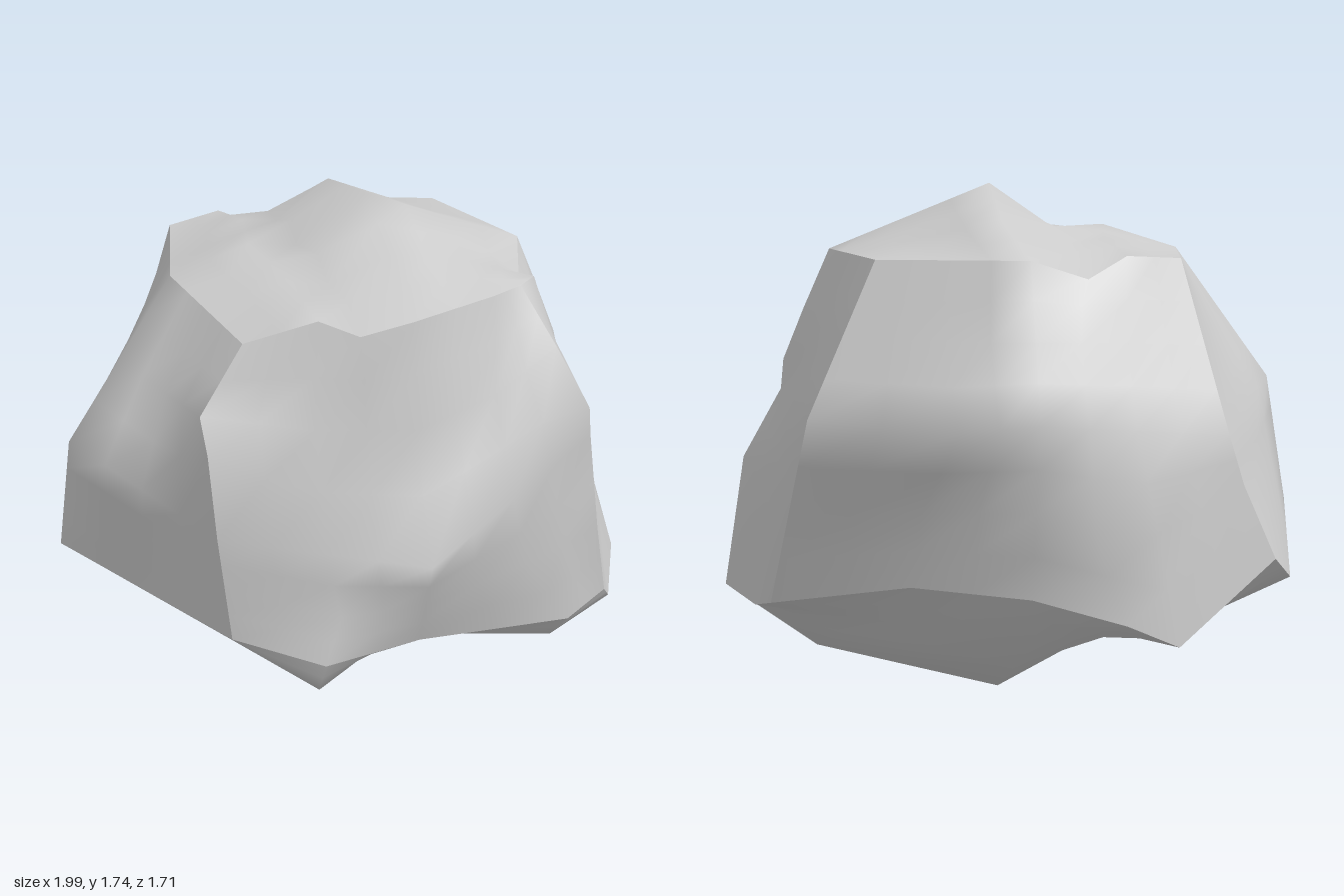
import * as THREE from 'three';

// Control points of the boulder on a 3 x 3 x 3 cage.
// Each layer runs back to front (rows) and from -x to +x (columns).
const layers = [
  [ // underside
    [[-0.74, 0.56, -0.70], [0.05, 0.47, -0.77], [0.84, 0.40, -0.39]],
    [[-1.0, 0.62, 0.05], [0.06, 0.0, -0.07], [0.99, 0.38, 0.0]],
    [[-0.56, 0.53, 0.65], [0.06, 0.42, 0.67], [0.79, 0.39, 0.52]],
  ],
  [ // waist (its centre is inside and unused)
    [[-0.58, 0.96, -0.71], [0.04, 1.02, -0.86], [0.72, 1.02, -0.62]],
    [[-0.96, 1.05, 0.16], null, [0.79, 1.05, 0.0]],
    [[-0.59, 0.88, 0.62], [0.03, 0.80, 0.85], [0.65, 1.05, 0.61]],
  ],
  [ // top
    [[-0.47, 1.50, -0.50], [0.04, 1.50, -0.67], [0.50, 1.50, -0.50]],
    [[-0.58, 1.52, 0.02], [0.07, 1.74, 0.05], [0.62, 1.52, 0.01]],
    [[-0.46, 1.46, 0.48], [0.03, 1.53, 0.63], [0.45, 1.53, 0.45]],
  ],
];

// Chips and bumps: in-between points that leave the straight line, keyed by
// cage position (x, y, z from -4 to 4).
const bumps = {
  // top: ridge to the back, valley from front to back, chipped edges
  '0,4,-2': [0.10, 1.62, -0.48],
  '-2,4,0': [-0.32, 1.60, 0.02],
  '-1,4,0': [-0.16, 1.58, 0.02],
  '-1,4,2': [-0.14, 1.55, 0.32],
  '-1,4,-2': [-0.13, 1.54, -0.33],
  '-2,4,4': [-0.24, 1.53, 0.54],
  '-1,4,4': [-0.12, 1.48, 0.58],
  '2,4,4': [0.33, 1.54, 0.53],
  '-2,4,-4': [-0.28, 1.51, -0.57],
  '-1,4,-4': [-0.15, 1.44, -0.61],
  '4,4,1': [0.55, 1.46, 0.20],
  '4,4,2': [0.52, 1.53, 0.39],
  // upright seams
  '-4,2,4': [-0.61, 1.26, 0.53],
  '-4,1,4': [-0.61, 1.17, 0.62],
  '4,2,4': [0.54, 1.35, 0.55],
  '4,1,4': [0.62, 1.17, 0.65],
  '4,-2,4': [0.70, 0.70, 0.61],
  '-4,-2,-4': [-0.63, 0.80, -0.71],
  // sides
  '0,2,4': [0.03, 1.20, 0.69],
  '0,1,4': [0.04, 0.98, 0.72],
  '-2,-2,4': [-0.24, 0.63, 0.78],
  '2,0,-4': [0.28, 1.00, -0.84],
  '-1,-2,-4': [-0.13, 0.70, -0.85],
  '-2,-2,-4': [-0.33, 0.68, -0.82],
  '4,-2,0': [0.92, 0.82, 0.0],
  '4,1,0': [0.78, 1.15, 0.0],
  '4,2,0': [0.71, 1.32, 0.0],
  // lower edge
  '-2,-4,4': [-0.30, 0.48, 0.81],
  '2,-4,4': [0.60, 0.38, 0.64],
  '4,-4,2': [0.87, 0.28, 0.40],
  '4,-4,1': [0.97, 0.36, 0.20],
  '4,-4,-2': [0.89, 0.37, -0.28],
  '2,-4,-4': [0.41, 0.49, -0.63],
  '-1,-4,-4': [-0.23, 0.40, -0.86],
  '-2,-4,-4': [-0.40, 0.32, -0.83],
  '-4,-4,-2': [-0.86, 0.45, -0.48],
  // underside
  '-2,-4,2': [-0.32, 0.39, 0.80],
  '2,-4,2': [0.57, 0.28, 0.57],
  '1,-4,1': [0.31, 0.14, 0.25],
  '2,-4,0': [0.68, 0.14, 0.05],
  '-2,-4,0': [-0.58, 0.29, 0.0],
  '-1,-4,0': [-0.28, 0.22, -0.02],
  '0,-4,-2': [0.0, 0.28, -0.56],
  '-2,-4,-2': [-0.43, 0.30, -0.56],
};

// Cage position -> point on the rock; in-between positions average their
// neighbours along the axes where the cage is finest.
function rockPoint(c) {
  const bump = bumps[c.join(',')];
  if (bump) return new THREE.Vector3(...bump);
  const steps = c.map((v) => (v % 4 ? v & -v : 4)); // 1 odd, 2 even, 4 on the cage
  const step = Math.min(...steps);
  if (step === 4) {
    const [i, j, k] = c.map((v) => v / 4 + 1);
    return new THREE.Vector3(...layers[j][k][i]);
  }
  const sum = new THREE.Vector3();
  let count = 0;
  for (let axis = 0; axis < 3; axis++) {
    if (steps[axis] !== step) continue;
    for (const side of [-step, step]) {
      const n = c.slice();
      n[axis] += side;
      sum.add(rockPoint(n));
      count++;
    }
  }
  return sum.divideScalar(count);
}

export function createModel() {
  const group = new THREE.Group();
  group.name = 'rock';

  // A gridded box pulled onto the cage; each side is smooth, seams stay sharp
  const geometry = new THREE.BoxGeometry(8, 8, 8, 8, 8, 8);
  const pos = geometry.attributes.position;
  for (let i = 0; i < pos.count; i++) {
    const cell = [pos.getX(i), pos.getY(i), pos.getZ(i)].map((v) => Math.round(v) + 0);
    const p = rockPoint(cell);
    pos.setXYZ(i, p.x, p.y, p.z);
  }
  geometry.computeVertexNormals();

  const boulder = new THREE.Mesh(geometry, new THREE.MeshStandardMaterial({ color: 0xcccccc }));
  boulder.name = 'boulder';
  group.add(boulder);
  return group;
}
